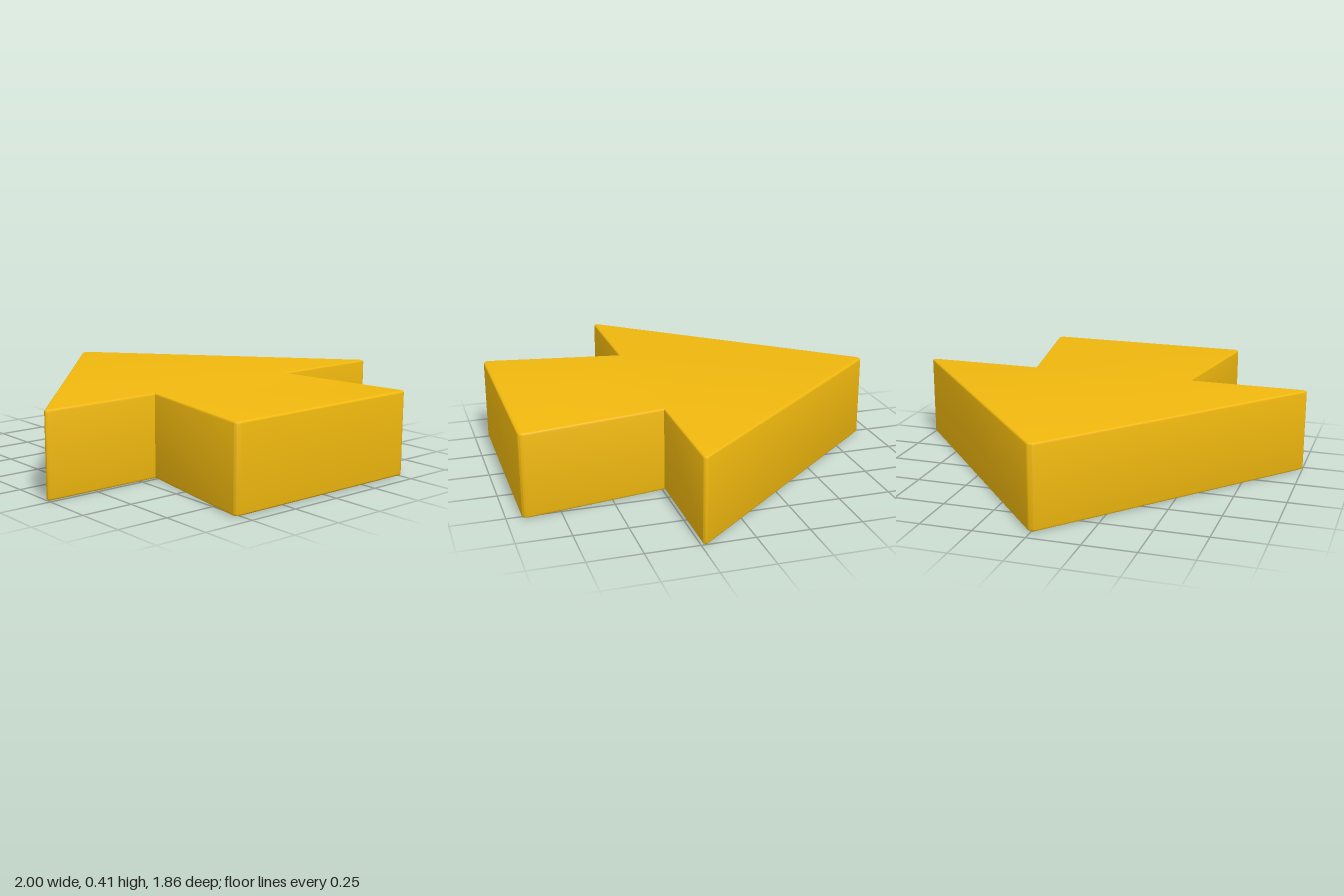
import * as THREE from 'three';
import { toCreasedNormals } from 'three/addons/utils/BufferGeometryUtils.js';

const HEIGHT = 0.405, BEVEL = 0.01;

// Closed counter-clockwise outline from [x, y, radius] corners, rounded where radius > 0
function roundedOutline(corners) {
  const shape = new THREE.Shape();
  const n = corners.length;
  const points = corners.map(([x, y]) => new THREE.Vector2(x, y));
  points.forEach((p, i) => {
    const r = corners[i][2];
    if (r === 0) {
      shape.lineTo(p.x, p.y);
      return;
    }
    const toPrev = points[(i + n - 1) % n].clone().sub(p).normalize();
    const toNext = points[(i + 1) % n].clone().sub(p).normalize();
    const half = Math.acos(toPrev.dot(toNext)) / 2;
    const centre = toPrev.clone().add(toNext).normalize().multiplyScalar(r / Math.sin(half)).add(p);
    const trim = r / Math.tan(half);
    const start = p.clone().addScaledVector(toPrev, trim).sub(centre).angle();
    const end = p.clone().addScaledVector(toNext, trim).sub(centre).angle();
    if (i === 0) shape.moveTo(centre.x + r * Math.cos(start), centre.y + r * Math.sin(start));
    shape.absarc(centre.x, centre.y, r, start, end, false);
  });
  shape.closePath();
  return shape;
}

export function createModel() {
  const group = new THREE.Group();
  group.name = 'arrow';

  // Left half of the outline (tip to flared tail), mirrored for the other side
  const side = [
    [1.0176, -0.24, 0.015],
    [0.415, -0.24, 0],
    [0.529, -0.93, 0.025],
  ];
  const outline = roundedOutline([
    [0, 0.95, 0.03],
    ...side.map(([x, y, r]) => [-x, y, r]),
    ...side.slice().reverse(),
  ]);

  // Thick slab with softened edges, laid flat with the tip to the back
  const slab = new THREE.ExtrudeGeometry(outline, {
    depth: HEIGHT - 2 * BEVEL,
    curveSegments: 8,
    bevelEnabled: true,
    bevelThickness: BEVEL,
    bevelSize: BEVEL,
    bevelOffset: -BEVEL,
    bevelSegments: 4,
  });
  slab.translate(0, 0, BEVEL);
  slab.rotateX(-Math.PI / 2);

  const arrow = new THREE.Mesh(
    toCreasedNormals(slab, 0.5),
    new THREE.MeshStandardMaterial({ color: 0xf0b80e })
  );
  arrow.name = 'arrowSlab';
  group.add(arrow);
  return group;
}
